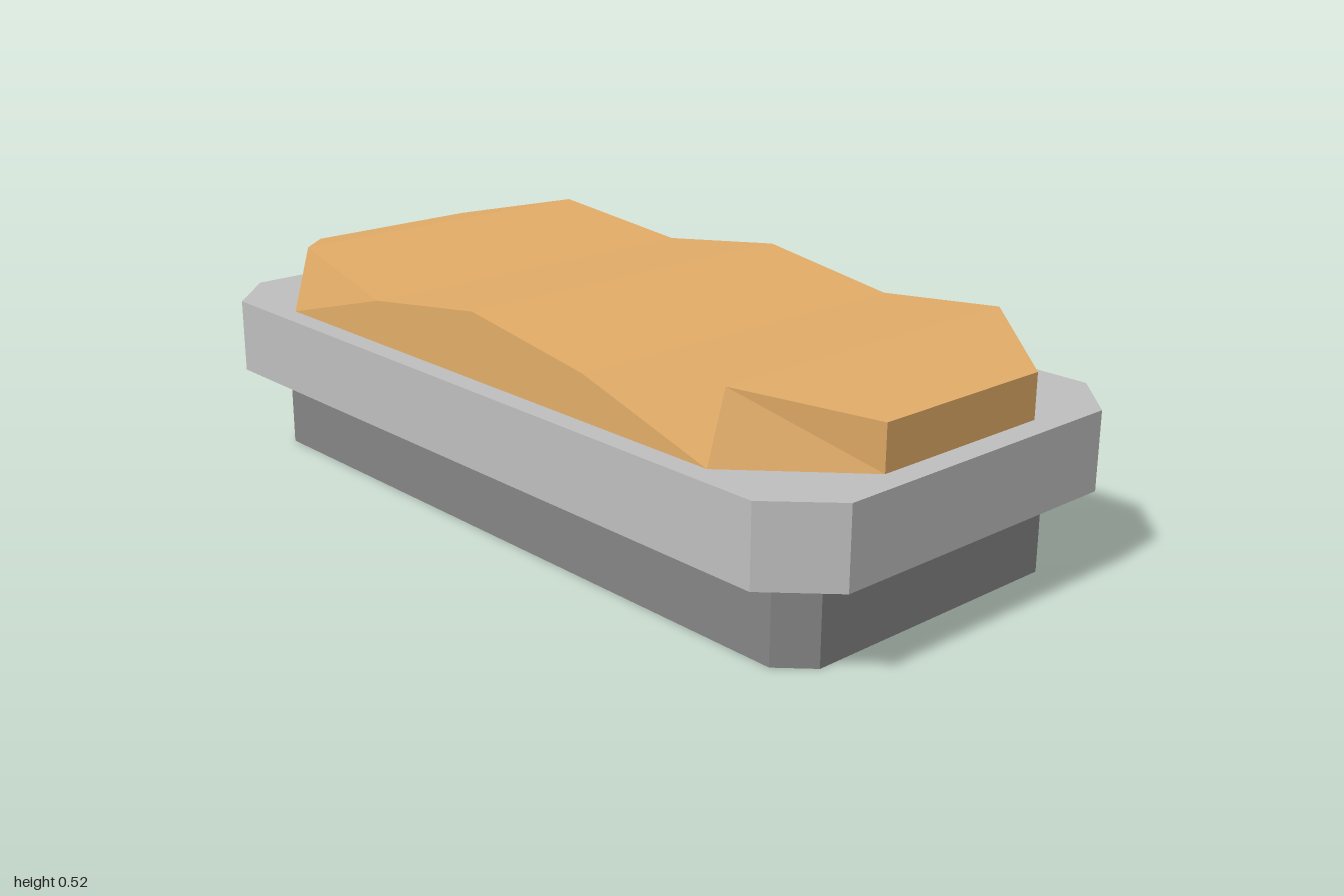
import * as THREE from 'three';

const material = (name, color) => {
  const m = new THREE.MeshStandardMaterial({ color, flatShading: true });
  m.name = name;
  return m;
};

// Upright slab with chamfered corners: half width, half length, chamfer, bottom, top
function chamferedSlab(w, l, c, y0, y1) {
  const shape = new THREE.Shape([
    [w - c, -l], [w, -l + c], [w, l - c], [w - c, l],
    [-w + c, l], [-w, l - c], [-w, -l + c], [-w + c, -l],
  ].map(([x, y]) => new THREE.Vector2(x, y)));
  const geo = new THREE.ExtrudeGeometry(shape, { depth: y1 - y0, bevelEnabled: false });
  return geo.rotateX(-Math.PI / 2).translate(0, y0, 0);
}

// Wavy top lofted through cross-sections along z
function wavyBlock(baseY) {
  // z, top half width, bottom half width, top height
  const half = [
    [0.945, 0.225, 0.225, 0.475],
    [0.71, 0.405, 0.45, 0.525],
    [0.355, 0.45, 0.45, 0.475],
  ];
  const rows = [
    ...half,
    [0, 0.45, 0.45, 0.525],
    ...half.map(([z, ...rest]) => [-z, ...rest]).reverse(),
  ];
  const pos = [];
  const quad = (a, b, c, d) => pos.push(...a, ...b, ...c, ...a, ...c, ...d);
  const top = ([z, t, , y], s) => [s * t, y, z];
  const low = ([z, , b], s) => [s * b, baseY, z];

  for (let i = 0; i < rows.length - 1; i++) {
    const f = rows[i], g = rows[i + 1];
    quad(top(f, -1), top(f, 1), top(g, 1), top(g, -1));
    // Side walls, split the same way on the front and back halves
    if (i < 3) {
      quad(low(f, 1), low(g, 1), top(g, 1), top(f, 1));
      quad(low(f, -1), top(f, -1), top(g, -1), low(g, -1));
      // low(f) to top(g) is the fold on both sides
    } else {
      quad(low(g, 1), top(g, 1), top(f, 1), low(f, 1));
      quad(low(g, -1), low(f, -1), top(f, -1), top(g, -1));
    }
  }
  // End walls and underside
  const a = rows[0], b = rows[rows.length - 1];
  quad(low(a, -1), low(a, 1), top(a, 1), top(a, -1));
  quad(low(b, 1), low(b, -1), top(b, -1), top(b, 1));
  for (let i = 0; i < rows.length - 1; i++) {
    quad(low(rows[i], 1), low(rows[i], -1), low(rows[i + 1], -1), low(rows[i + 1], 1));
  }

  const geo = new THREE.BufferGeometry();
  geo.setAttribute('position', new THREE.Float32BufferAttribute(pos, 3));
  geo.computeVertexNormals();
  return geo;
}

export function createModel() {
  const group = new THREE.Group();
  const add = (name, geo, mat) => {
    const mesh = new THREE.Mesh(geo, mat);
    mesh.name = name;
    group.add(mesh);
  };

  add('foot', chamferedSlab(0.4, 0.9, 0.067, 0, 0.2), material('dark grey', 0x858585));
  add('tray', chamferedSlab(0.5, 1, 0.125, 0.2, 0.375), material('light grey', 0xbfbfbf));
  add('wavyTop', wavyBlock(0.375), material('tan', 0xe3ad68));
  return group;
}
